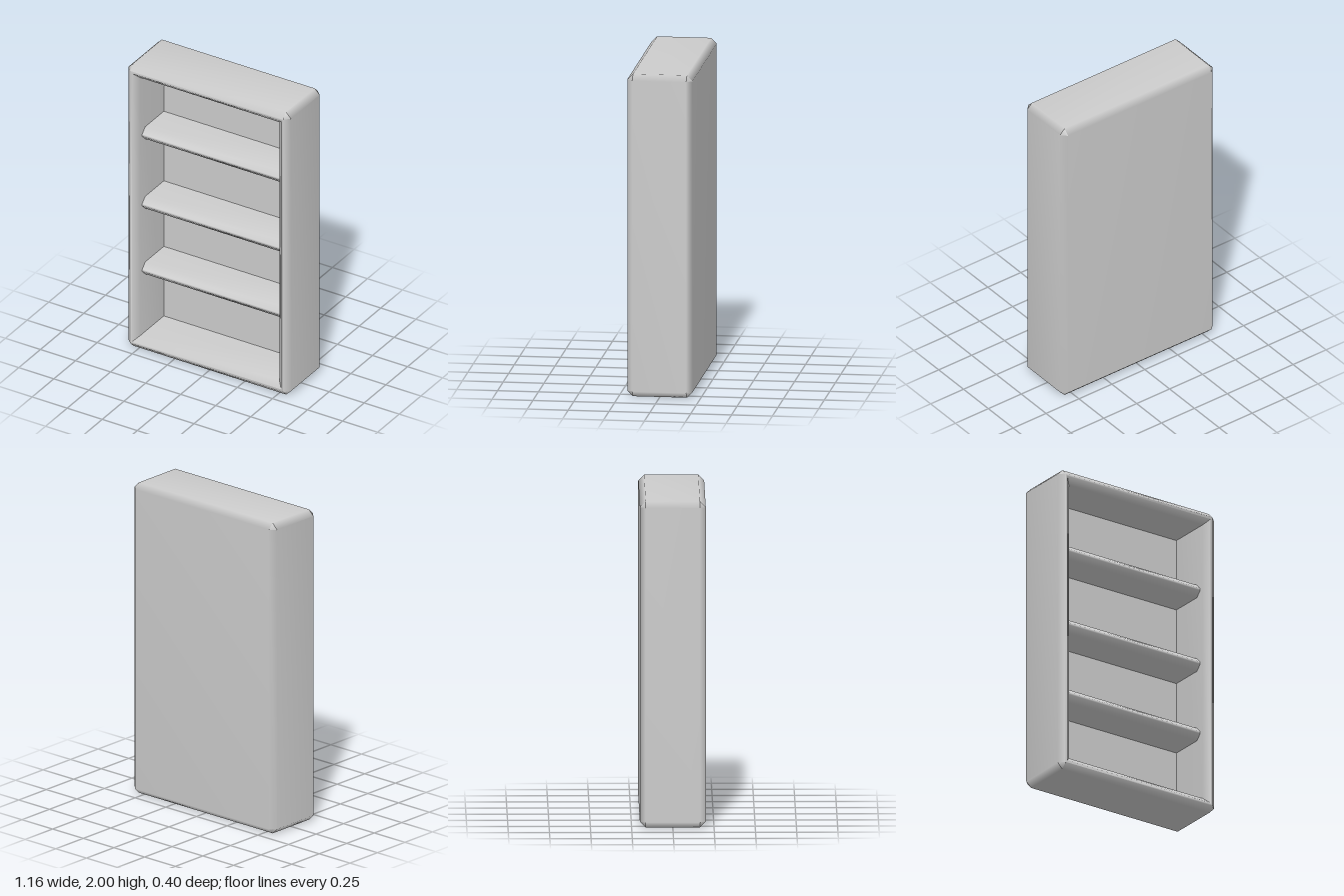
import * as THREE from 'three';

const BEVEL = 0.035;

// Area-weighted normals, smooth across bevels (45 degrees) and sharp at right angles
function smoothBevels(source) {
  const geo = source.index ? source.toNonIndexed() : source;
  const pos = geo.attributes.position;
  const point = (i) => new THREE.Vector3().fromBufferAttribute(pos, i);
  const key = (i) => point(i).toArray().map((v) => Math.round(v * 1e4)).join();
  const faces = [];
  const around = new Map();
  for (let i = 0; i < pos.count; i += 3) {
    const a = point(i);
    const area = point(i + 1).sub(a).cross(point(i + 2).sub(a));
    faces.push({ area, unit: area.clone().normalize() });
    for (let k = i; k < i + 3; k++) {
      if (!around.has(key(k))) around.set(key(k), []);
      around.get(key(k)).push(faces[i / 3]);
    }
  }
  const normals = [];
  for (let i = 0; i < pos.count; i++) {
    const own = faces[Math.floor(i / 3)].unit;
    const n = new THREE.Vector3();
    for (const f of around.get(key(i))) if (f.unit.dot(own) > 0.6) n.add(f.area);
    normals.push(...n.normalize().toArray());
  }
  geo.setAttribute('normal', new THREE.Float32BufferAttribute(normals, 3));
  return geo;
}

// Rectangle with corners cut by c, counterclockwise from the front
function ring(w, h, z, c = 0) {
  return [
    [-w + c, -h], [w - c, -h], [w, -h + c], [w, h - c],
    [w - c, h], [-w + c, h], [-w, h - c], [-w, -h + c],
  ].map(([x, y]) => new THREE.Vector3(x, y + 1, z));
}

// Case: one skin running from the back panel, around the rim and into the recess
function caseGeometry() {
  const W = 0.58, H = 1, D = 0.2, iw = 0.497, ih = 0.915, b = BEVEL;
  const rings = [
    ring(W - b, H - b, -D),
    ring(W, H, -D + b, b),
    ring(W, H, D - b, b),
    ring(W - b, H - b, D),
    ring(iw + b, ih + b, D),
    ring(iw, ih, D - b),
    ring(iw, ih, -0.11),
  ];
  const out = [];
  const tri = (p, q, r) => {
    const area = q.clone().sub(p).cross(r.clone().sub(p)).length();
    if (area > 1e-8) for (const v of [p, q, r]) out.push(v.x, v.y, v.z);
  };
  for (let k = 0; k < rings.length - 1; k++) {
    const a = rings[k], c = rings[k + 1];
    for (let i = 0; i < 8; i++) {
      const j = (i + 1) % 8;
      tri(a[i], a[j], c[j]);
      tri(a[i], c[j], c[i]);
    }
  }
  const back = rings[0], recess = rings[rings.length - 1];
  for (let i = 1; i < 7; i++) {
    tri(back[0], back[i + 1], back[i]);
    tri(recess[0], recess[i], recess[i + 1]);
  }
  const geo = new THREE.BufferGeometry();
  geo.setAttribute('position', new THREE.Float32BufferAttribute(out, 3));
  return smoothBevels(geo);
}

// Shelf: bevelled front edge, ends and back set slightly into the case
function shelfGeometry() {
  const h = 0.0425, front = 0.14, back = -0.115, half = 0.5;
  const profile = new THREE.Shape([
    [back, -h], [front - BEVEL, -h], [front, -h + BEVEL],
    [front, h - BEVEL], [front - BEVEL, h], [back, h],
  ].map(([z, y]) => new THREE.Vector2(z, y)));
  const geo = new THREE.ExtrudeGeometry(profile, { depth: half * 2, bevelEnabled: false });
  geo.rotateY(-Math.PI / 2).translate(half, 0, 0);
  return smoothBevels(geo);
}

export function createModel() {
  const model = new THREE.Group();
  model.name = 'bookcase';
  const grey = new THREE.MeshStandardMaterial({ color: 0xcccccc });
  grey.name = 'light grey';

  const body = new THREE.Mesh(caseGeometry(), grey);
  body.name = 'case';
  model.add(body);

  const shelf = shelfGeometry();
  [0.535, 1.0, 1.493].forEach((y, i) => {
    const mesh = new THREE.Mesh(shelf, grey);
    mesh.name = `shelf${i + 1}`;
    mesh.position.y = y;
    model.add(mesh);
  });
  return model;
}
